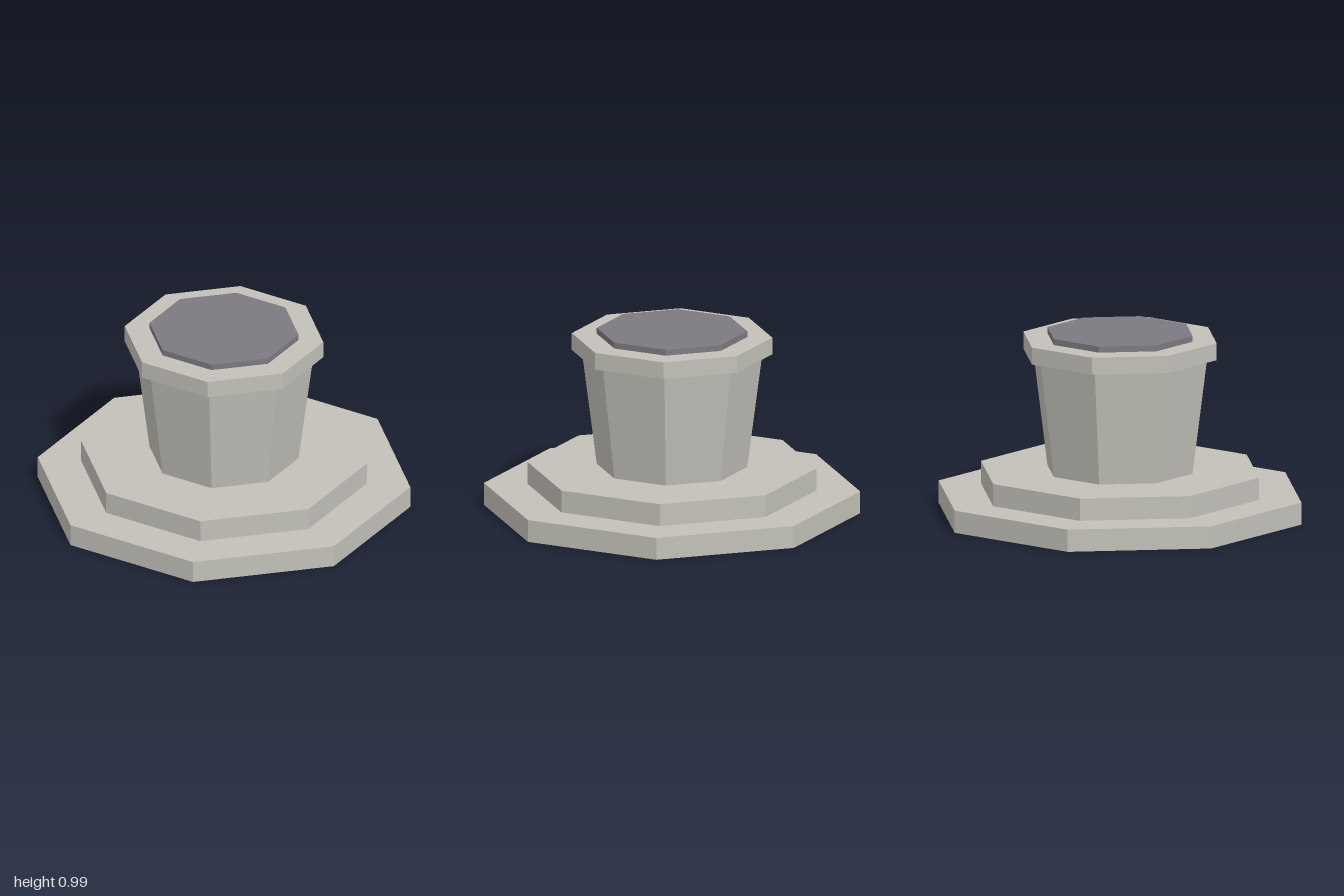
import * as THREE from 'three';

export function createModel() {
  const group = new THREE.Group();
  group.name = 'pedestal';

  const stone = new THREE.MeshStandardMaterial({ color: 0xc2c0b8, flatShading: true });
  stone.name = 'pale stone';
  const slate = new THREE.MeshStandardMaterial({ color: 0x7c7a80, flatShading: true });
  slate.name = 'dark slate';

  // Octagonal tier from y0 to y1, with a corner facing the front
  const tier = (name, bottomRadius, topRadius, y0, y1, material) => {
    const geometry = new THREE.CylinderGeometry(topRadius, bottomRadius, y1 - y0, 8);
    const mesh = new THREE.Mesh(geometry, material);
    mesh.name = name;
    mesh.position.y = (y0 + y1) / 2;
    group.add(mesh);
  };

  // Stepped base
  tier('lowerStep', 1, 1, 0, 0.12, stone);
  tier('upperStep', 0.767, 0.767, 0.12, 0.24, stone);
  // Column flaring towards the top
  tier('column', 0.4, 0.48, 0.24, 0.863, stone);
  // Rim and inset top plate
  tier('rim', 0.533, 0.533, 0.863, 0.955, stone);
  tier('topPlate', 0.4, 0.4, 0.955, 0.987, slate);

  return group;
}
